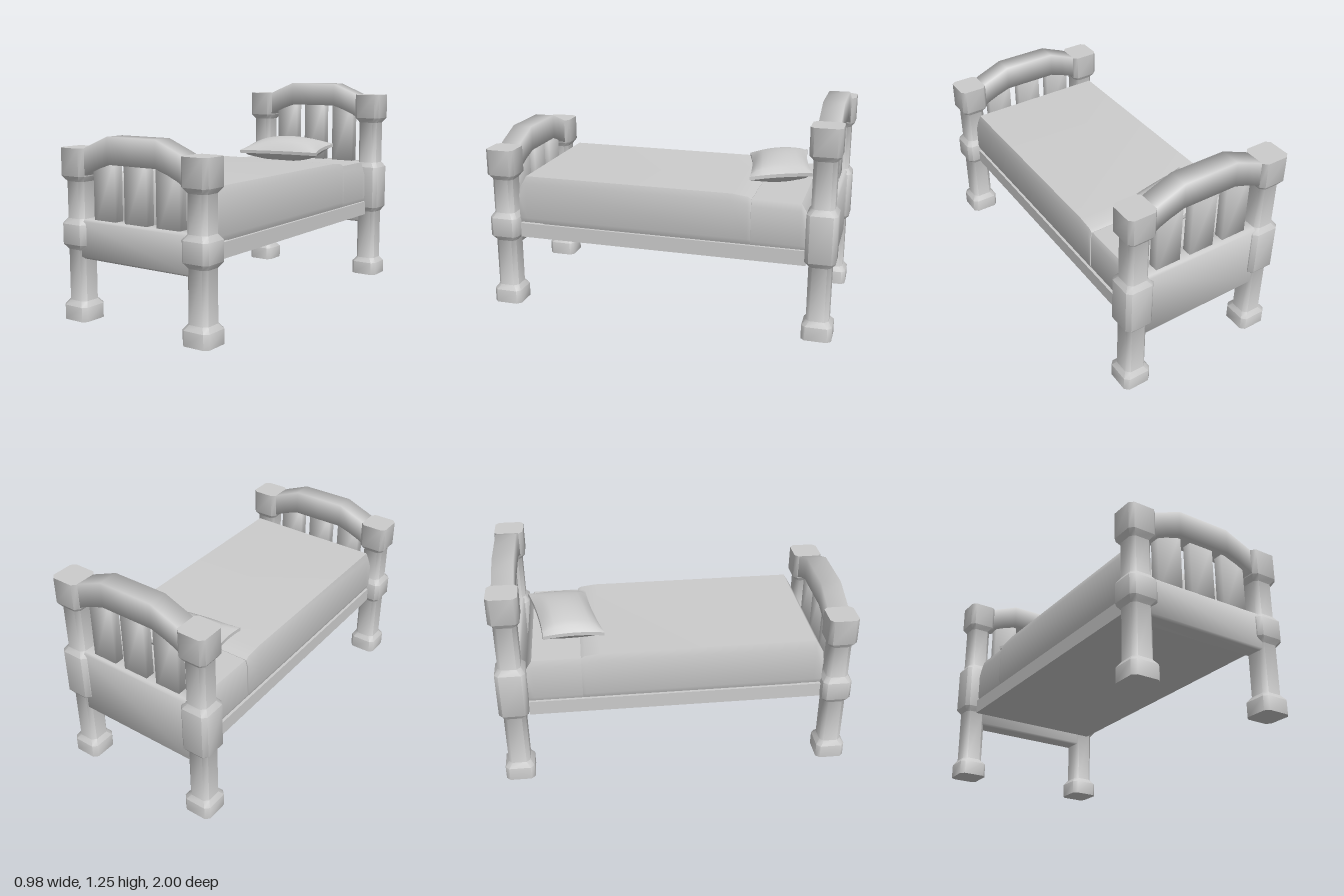
import * as THREE from 'three';
import { toCreasedNormals } from 'three/addons/utils/BufferGeometryUtils.js';

const material = new THREE.MeshStandardMaterial({ color: 0xcccccc });

function part(parent, name, geometry) {
  const mesh = new THREE.Mesh(geometry, material);
  mesh.name = name;
  parent.add(mesh);
  return mesh;
}

// Skin between rings of [x, y, z] points, each ring counterclockwise seen from the far end
function loft(rings, crease = 0.9) {
  const n = rings[0].length, index = [];
  for (let i = 0; i < rings.length - 1; i++) {
    for (let j = 0; j < n; j++) {
      const a = i * n + j, b = i * n + (j + 1) % n;
      index.push(a, b, b + n, a, b + n, a + n);
    }
  }
  const end = (rings.length - 1) * n;
  for (let j = 1; j < n - 1; j++) {
    index.push(0, j + 1, j, end, end + j, end + j + 1);
  }
  const geometry = new THREE.BufferGeometry();
  geometry.setAttribute('position', new THREE.Float32BufferAttribute(rings.flat(2), 3));
  geometry.setIndex(index);
  return toCreasedNormals(geometry, crease);
}

// Square post with cut corners, thick at the foot, the panel joint and the head
function postGeometry(height, jointLow, jointHigh) {
  const thick = 0.083, thin = 0.062, cut = 0.022;
  const levels = [
    [0, thick], [0.08, thick], [0.108, thin],
    [jointLow - 0.03, thin], [jointLow, thick], [jointHigh - 0.03, thick], [jointHigh, thin],
    [height - 0.18, thin], [height - 0.15, thick], [height, thick],
  ];
  return loft(levels.map(([y, h]) => {
    const k = h - cut;
    return [[h, -k], [h, k], [k, h], [-k, h], [-h, k], [-h, -k], [-k, -h], [k, -h]]
      .map(([z, x]) => [x, y, z]);
  }));
}

// Arched rail, its ends sunk into the posts; y is measured from the post top
function railGeometry() {
  const half = [[0, 0.07, -0.075], [0.16, 0.07, -0.075], [0.24, 0.037, -0.102],
    [0.3, 0.013, -0.128], [0.345, -0.008, -0.155], [0.38, -0.025, -0.17]];
  const stations = [...half.slice(1).reverse().map(([x, t, b]) => [-x, t, b]), ...half];
  const d = 0.058;
  return loft(stations.map(([x, top, bottom]) =>
    [[x, bottom, -d], [x, top, -d], [x, top, d], [x, bottom, d]]), Math.PI);
}

// Panel with softly rounded top and bottom edges
function panelGeometry(low, high) {
  const d = 0.055, c = 0.012;
  const ring = (x) => [[low, -d + c], [low + c, -d], [high - c, -d], [high, -d + c],
    [high, d - c], [high - c, d], [low + c, d], [low, d - c]].map(([y, z]) => [x, y, z]);
  return loft([ring(-0.38), ring(0.38)]);
}

// Upright slat, shaded softly round its four corners
function slatGeometry(low, high) {
  const w = 0.075, d = 0.028;
  const ring = (y) => [[-w, y, -d], [-w, y, d], [w, y, d], [w, y, -d]];
  return loft([ring(low), ring(high)], 1.6);
}

function endBoard(name, z, height, panelTop, jointLow) {
  const board = new THREE.Group();
  board.name = name;
  board.position.z = z;
  for (const side of [-1, 1]) {
    part(board, side > 0 ? 'leftPost' : 'rightPost', postGeometry(height, jointLow, panelTop))
      .position.x = side * 0.409;
  }
  part(board, 'archedRail', railGeometry()).position.y = height;
  part(board, 'panel', panelGeometry(0.345, panelTop));
  for (const x of [-0.213, 0, 0.213]) {
    part(board, 'slat', slatGeometry(panelTop - 0.05, height - 0.04)).position.x = x;
  }
  return board;
}

// Padded slab running along z; each station is [z, top]
function padGeometry(halfWidth, bottom, stations) {
  const w = halfWidth, v = w - 0.012;
  return loft(stations.map(([z, top]) =>
    [[v, bottom], [w, bottom + 0.03], [w, top - 0.04], [v, top],
      [-v, top], [-w, top - 0.04], [-w, bottom + 0.03], [-v, bottom]]
      .map(([x, y]) => [x, y, z])));
}

// Cushion swelling in the middle, with pulled-in sides and pointed corners
function pillowGeometry() {
  const geometry = new THREE.BoxGeometry(2, 2, 2, 14, 1, 10);
  const p = geometry.attributes.position;
  for (let i = 0; i < p.count; i++) {
    const u = p.getX(i), v = p.getZ(i);
    const swell = Math.pow((1 - u * u) * (1 - v * v), 0.55);
    p.setXYZ(i,
      u * (0.262 - 0.022 * (1 - v * v)),
      p.getY(i) * (0.01 + 0.068 * swell),
      v * (0.173 - 0.014 * (1 - u * u)));
  }
  geometry.computeVertexNormals();
  return geometry;
}

export function createModel() {
  const bed = new THREE.Group();
  bed.name = 'bed';

  bed.add(endBoard('headboard', -0.917, 1.185, 0.745, 0.45));
  bed.add(endBoard('footboard', 0.917, 0.94, 0.56, 0.42));

  // Base frame under the mattress
  part(bed, 'bedFrame', new THREE.BoxGeometry(0.84, 0.085, 1.67)).position.y = 0.4475;

  // Mattress, bare at the head end
  part(bed, 'mattress', padGeometry(0.414, 0.485, [[-0.832, 0.7], [-0.8, 0.75], [0.7, 0.75]]));

  // Blanket, tucked down at the foot end
  part(bed, 'blanket', padGeometry(0.42, 0.495,
    [[-0.53, 0.752], [-0.51, 0.765], [-0.42, 0.776], [0.79, 0.776], [0.835, 0.7]]));

  // Pillow, lying askew and tilted towards the headboard
  const pillow = part(bed, 'pillow', pillowGeometry());
  pillow.position.set(-0.045, 0.833, -0.608);
  pillow.rotation.set(0.09, 0.183, 0, 'YXZ');

  return bed;
}
